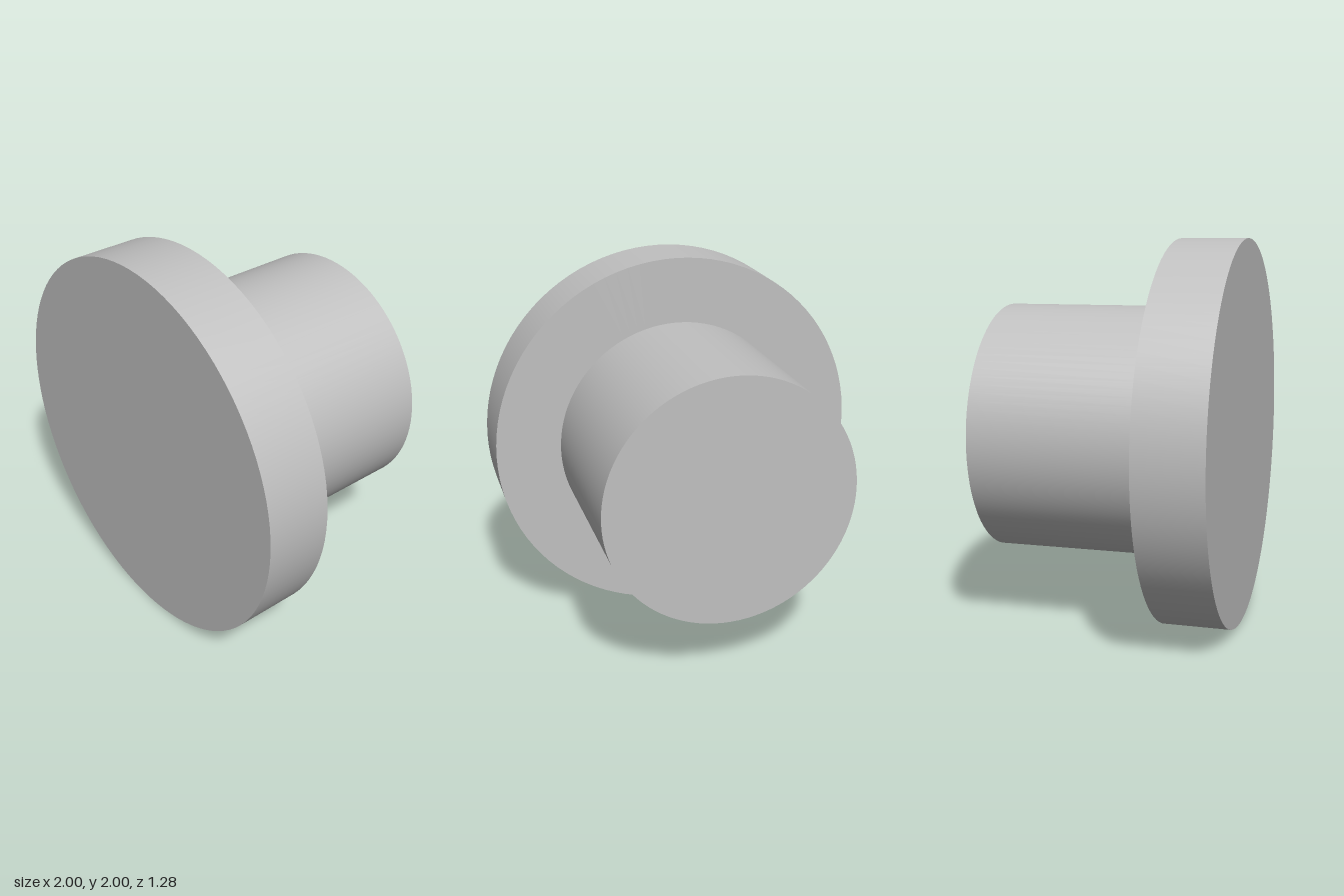
import * as THREE from 'three';

const SEGMENTS = 96;
const FLANGE_RADIUS = 1, SHAFT_RADIUS = 0.653;
const FRONT = 0.638, STEP = 0.294, BACK = -0.638;

export function createModel() {
  const model = new THREE.Group();
  model.name = 'flangedPin';
  const metal = new THREE.MeshStandardMaterial({ color: 0xc0c0c0 });
  metal.name = 'plain grey';

  function add(parent, name, geometry, z) {
    const mesh = new THREE.Mesh(geometry, metal);
    mesh.name = name;
    mesh.position.set(0, 1, z);
    parent.add(mesh);
  }

  // Open round wall running along z
  function wall(radius, z0, z1) {
    return new THREE.CylinderGeometry(radius, radius, z1 - z0, SEGMENTS, 1, true).rotateX(Math.PI / 2);
  }

  // Wide flange disc: front face, rim and the ring around the shaft
  const flange = new THREE.Group();
  flange.name = 'flange';
  add(flange, 'flangeFace', new THREE.CircleGeometry(FLANGE_RADIUS, SEGMENTS), FRONT);
  add(flange, 'flangeRim', wall(FLANGE_RADIUS, STEP, FRONT), (STEP + FRONT) / 2);
  add(flange, 'flangeShoulder',
    new THREE.RingGeometry(SHAFT_RADIUS, FLANGE_RADIUS, SEGMENTS).rotateY(Math.PI), STEP);

  // Narrower solid shaft behind it
  const shaft = new THREE.Group();
  shaft.name = 'shaft';
  add(shaft, 'shaftWall', wall(SHAFT_RADIUS, BACK, STEP), (BACK + STEP) / 2);
  add(shaft, 'shaftEnd', new THREE.CircleGeometry(SHAFT_RADIUS, SEGMENTS).rotateY(Math.PI), BACK);

  model.add(flange, shaft);
  return model;
}
